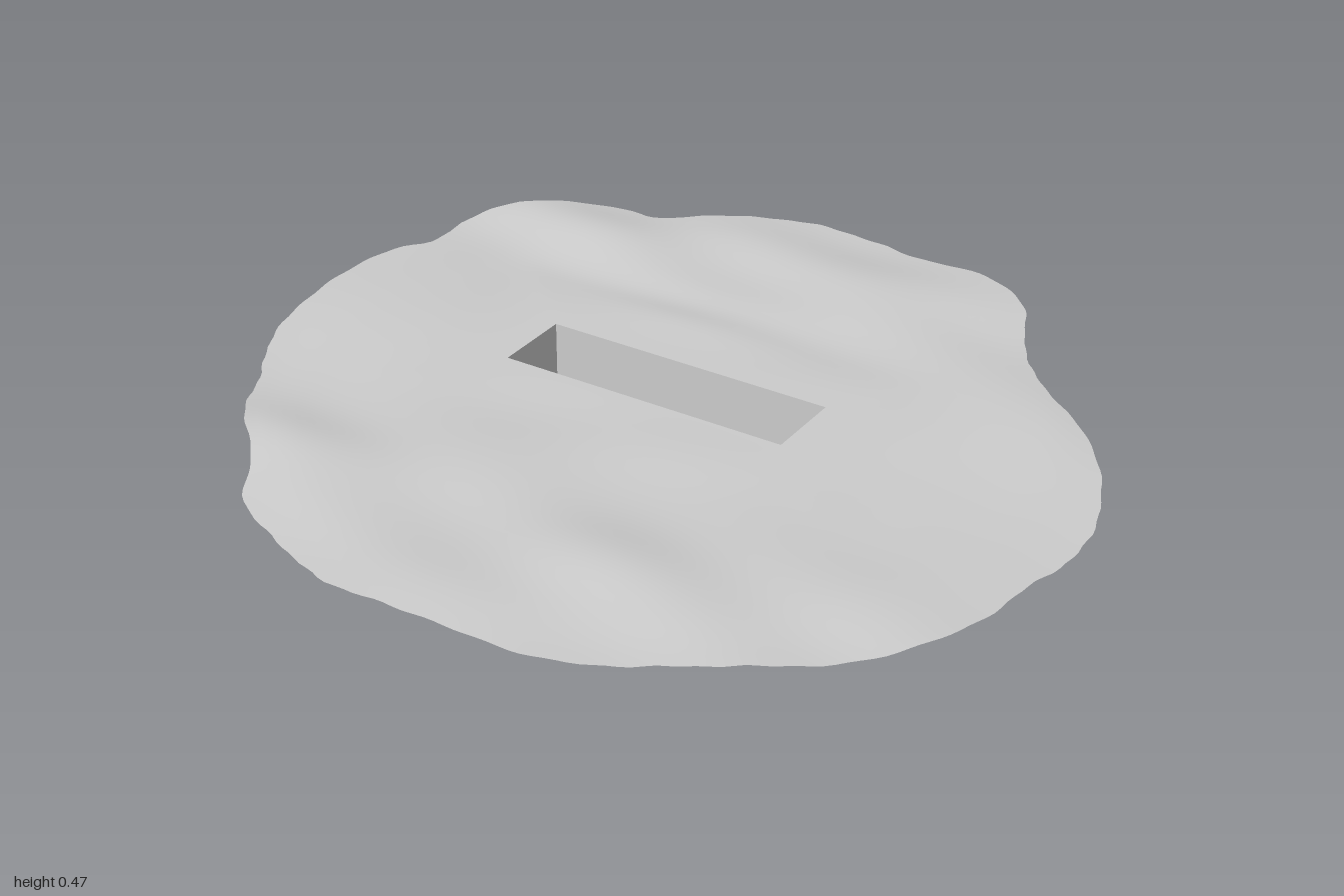
import * as THREE from 'three';
import { toCreasedNormals } from 'three/addons/utils/BufferGeometryUtils.js';

// rough outline of the rim (x, z), starting at the back and running past +x
const OUTLINE = [
  [-0.2, -0.95], [0, -0.95], [0.1, -0.93], [0.3, -0.92], [0.45, -0.82], [0.52, -0.68], [0.62, -0.54],
  [0.82, -0.36], [0.95, -0.17], [1, 0.04], [0.97, 0.22], [0.94, 0.4], [0.87, 0.55], [0.72, 0.69],
  [0.52, 0.82], [0.3, 0.93], [0.1, 0.945], [-0.2, 0.945], [-0.35, 0.89], [-0.53, 0.8], [-0.62, 0.67],
  [-0.75, 0.54], [-0.85, 0.37], [-0.95, 0.2], [-1, -0.05], [-0.98, -0.28], [-0.93, -0.38],
  [-0.92, -0.55], [-0.78, -0.7], [-0.6, -0.76], [-0.53, -0.75], [-0.42, -0.84],
];
// underside height against distance from the lowest point
const PROFILE = [[0, 0], [0.08, 0.005], [0.16, 0.015], [0.3, 0.07], [0.42, 0.125], [0.54, 0.185],
  [0.67, 0.25], [0.8, 0.32], [0.92, 0.39], [1, 0.44]];
const SLOT = { x: -0.065, z: -0.075, w: 0.355, d: 0.095, floor: 0.2, top: 0.45 };
const SEGMENTS = 256;
const RINGS = 28;

// joins closed rings of points; rings running outward give upward faces
function loft(rings) {
  const n = rings[0].length;
  const index = [];
  for (let r = 0; r < rings.length - 1; r++) {
    for (let i = 0; i < n; i++) {
      const j = (i + 1) % n;
      const a = r * n + i, b = r * n + j, c = a + n, d = b + n;
      index.push(a, b, c, b, d, c);
    }
  }
  const geometry = new THREE.BufferGeometry();
  geometry.setAttribute('position', new THREE.Float32BufferAttribute(rings.flat(2), 3));
  geometry.setIndex(index);
  geometry.computeVertexNormals();
  return geometry;
}

const bump = (x, z, cx, cz, rx, rz) => Math.exp(-(((x - cx) / rx) ** 2) - ((z - cz) / rz) ** 2);

// gentle ripples and ridges of the upper face
function topHeight(x, z) {
  const away = Math.max(Math.abs(x - SLOT.x) - SLOT.w, Math.abs(z - SLOT.z) - SLOT.d);
  const fade = THREE.MathUtils.smoothstep(away, 0, 0.25);
  const edge = 1 - THREE.MathUtils.smoothstep(Math.hypot(x, z), 0.8, 1);
  const ripples = 0.004 * Math.sin(4 * x + 9 * z + 2 * Math.sin(3 * x))
    + 0.003 * Math.sin(7 * x - 11 * z + 1.5 * Math.sin(5 * z));
  const ridges = 0.02 * bump(x, z, -0.6, -0.62, 0.3, 0.12) + 0.012 * bump(x, z, 0.25, 0.6, 0.25, 0.12)
    + 0.014 * bump(x, z, -0.6, 0.55, 0.25, 0.1) + 0.012 * bump(x, z, 0, -0.75, 0.35, 0.1)
    - 0.012 * bump(x, z, -0.2, -0.42, 0.3, 0.07) - 0.008 * bump(x, z, 0.6, 0.3, 0.2, 0.15);
  return SLOT.top + fade * (ripples + ridges) - 0.007 * (1 - edge) * fade;
}

// rim points with small chips in the edge
function makeRim() {
  const curve = new THREE.CatmullRomCurve3(
    OUTLINE.map(([x, z]) => new THREE.Vector3(x, 0, z)), true, 'centripetal');
  return curve.getSpacedPoints(SEGMENTS).slice(0, SEGMENTS).map((p, i) => {
    const a = (i / SEGMENTS) * Math.PI * 2;
    const s = 0.996 + 0.004 * Math.sin(41 * a + 2 * Math.sin(7 * a)) * Math.sin(17 * a + 1);
    return [p.x * s, p.z * s];
  });
}

// slot edge point lying towards each rim point, with exact corners
function makeSlotEdge(rim) {
  const edge = rim.map(([x, z]) => {
    const dx = x - SLOT.x, dz = z - SLOT.z;
    const s = Math.min(SLOT.w / Math.abs(dx), SLOT.d / Math.abs(dz));
    return [SLOT.x + dx * s, SLOT.z + dz * s];
  });
  for (const sx of [-1, 1]) for (const sz of [-1, 1]) {
    const corner = [SLOT.x + sx * SLOT.w, SLOT.z + sz * SLOT.d];
    const distance = (p) => Math.hypot(p[0] - corner[0], p[1] - corner[1]);
    let best = 0;
    edge.forEach((p, i) => { if (distance(p) < distance(edge[best])) best = i; });
    edge[best] = corner;
  }
  return edge;
}

export function createModel() {
  const group = new THREE.Group();
  const material = new THREE.MeshStandardMaterial({ color: 0xcccccc });
  const add = (name, geometry) => {
    const mesh = new THREE.Mesh(geometry, material);
    mesh.name = name;
    group.add(mesh);
  };
  const rim = makeRim();
  const edge = makeSlotEdge(rim);

  // rippled upper face around the slot
  const topRings = [];
  for (let r = 0; r <= RINGS; r++) {
    const t = r / RINGS;
    topRings.push(rim.map(([x, z], i) => {
      const px = THREE.MathUtils.lerp(edge[i][0], x, t);
      const pz = THREE.MathUtils.lerp(edge[i][1], z, t);
      return [px, topHeight(px, pz), pz];
    }));
  }
  add('upperFace', loft(topRings));

  // fluted underside, from the rim in to the lowest point
  const shellRings = [...PROFILE].reverse().map(([t, y]) => rim.map(([x, z]) => [
    THREE.MathUtils.lerp(SLOT.x, x, t),
    y * topHeight(x, z) / 0.44,
    THREE.MathUtils.lerp(SLOT.z, z, t),
  ]));
  add('underside', loft(shellRings));

  // rectangular slot: floor and four walls
  const rectangle = (s, y) => [[-1, -1], [1, -1], [1, 1], [-1, 1]].map(([sx, sz]) =>
    [SLOT.x + s * sx * SLOT.w, y, SLOT.z + s * sz * SLOT.d]);
  const slot = loft([rectangle(0, SLOT.floor), rectangle(1, SLOT.floor), rectangle(1, SLOT.top)]);
  add('slot', toCreasedNormals(slot, 0.5));

  return group;
}
